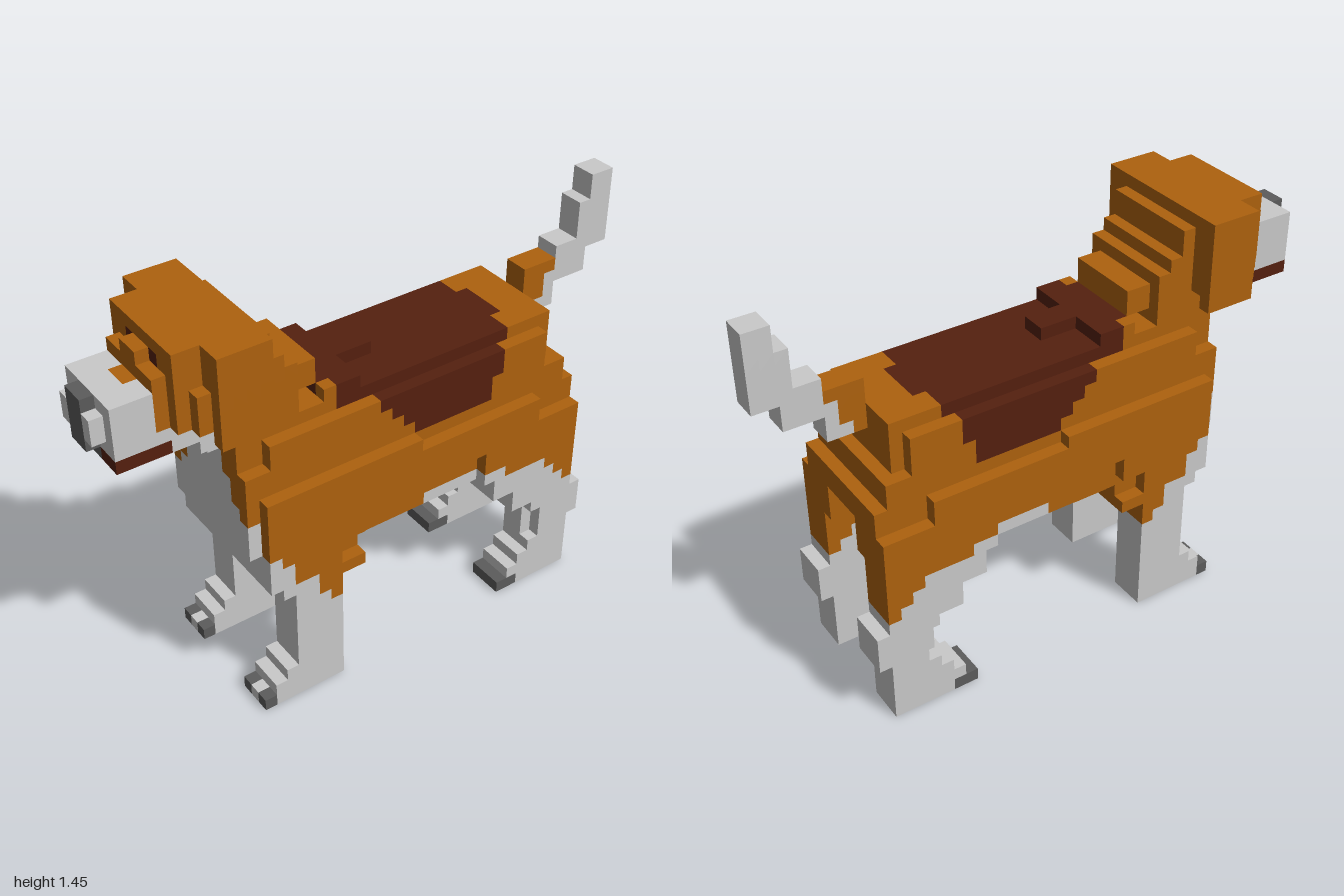
import * as THREE from 'three';

// All sizes are in blocks: 44 blocks make the 2 unit length.
const U = 1 / 22;

const tan = new THREE.MeshStandardMaterial({ color: 0xae620e });
const white = new THREE.MeshStandardMaterial({ color: 0xcacaca });
const brown = new THREE.MeshStandardMaterial({ color: 0x55200f });
const grey = new THREE.MeshStandardMaterial({ color: 0x5c5c5c });
Object.entries({ tan, white, brown, grey }).forEach(([n, m]) => { m.name = n; });

// True when block v lies from a up to, but not including, b.
const within = (v, a, b) => v >= a && v < b;

// Each part is a rule for which blocks it fills and a rule for their colour;
// x is the distance from the middle plane, so both sides mirror.
const nose = {
  fills: (x, y, z) => x < 1 && ((within(y, 25, 29) && z === 21) || (y === 24 && z === 20)),
  paint: () => grey,
};

const mouth = {
  fills: (x, y, z) => x < 3 && y === 24 && within(z, 17, 21),
  paint: () => brown,
};

const muzzle = {
  fills: (x, y, z) => (x < 3 && within(y, 25, 29) && within(z, 18, 21))
    || (x === 1 && within(y, 26, 28) && z === 21),
  paint: (x, y, z) => (x < 1 && y === 28 && z === 18 ? tan : white),
};

// Head with a stepped face, a brow ridge and recessed eyes
const head = {
  fills(x, y, z) {
    if (y < 26) return false;
    if (z === 17) return x < (y < 30 ? 3 : y < 31 ? 1 : 0);
    return x < 4 && within(z, y < 31 ? 10 : 11, 17);
  },
  paint: (x, y, z) => (x === 1 && y === 30 && z === 16 ? brown : tan),
};

const ears = {
  fills: (x, y, z) => x >= 4 && y >= (x < 5 ? 26 : 25) && within(z, 11, x < 5 && y < 29 ? 16 : 15),
  paint: () => tan,
};

// Throat slopes forward from the chest to the jaw
const throat = {
  fills: (x, y, z) => within(y, 22, 26) && x < (y < 23 ? 2 : 3)
    && within(z, 13, y < 24 ? y - 8 : y - 7),
  paint: () => white,
};

// Coat: saddle, bib, socks and groin
const bibWidth = y => (y >= 20 ? 2 : y >= 18 ? 3 : y >= 17 ? 4 : y >= 14 ? 5 : 6);
const foreSock = z => (z > 11 ? 17 : z > 9 ? z + 3 : z > 7 ? 11 : z + 2);
const hindSock = z => (z >= -9 ? 13 : z >= -13 ? 12 : z + 25);
function coat(x, y, z) {
  const saddleTop = within(y, 23, 25) && x < 4
    && (within(z, -10, 5) || (x < 2 && z === -11) || (x < 3 && z === 5));
  const saddleSide = within(y, 19, 23) && x >= 4
    && within(z, y > 20 ? -9 : -8, y - 20);
  if (saddleTop || saddleSide) return brown;
  if (z >= 11 && y < 24 && x < bibWidth(y)) return white;
  if (z >= 6 && y < foreSock(z)) return white;
  return z <= -3 && y < hindSock(z) ? white : tan;
}

// Neck steps down to the withers at the back
const neck = {
  fills(x, y, z) {
    if (!within(y, 22, 31)) return false;
    if (y >= 27) return x < 4 && within(z, y > 28 ? 10 : y - 19, 11);
    return (x < 4 && within(z, 8, 13)) || (x < 3 && y > 24 && within(z, 6, 8));
  },
  paint: coat,
};

// Trunk: core, side layer, outer flanks, rump, chest floor and belly
const inCore = (x, y, z) => x < 4 && within(y, 13, 24) && within(z, -14, 12);
const inBreast = (x, y, z) => z === 12
  && ((x < 4 && within(y, 14, 23)) || (x < 5 && within(y, 14, 21)));
const inSides = (x, y, z) => x === 4 && within(z, -13, 12) && within(y, 12, z < 11 ? 23 : 21);
const inWithers = (x, y, z) => y === 24 && within(z, 0, 6) && x < (z < 3 ? 1 : 4);
const inFlanks = (x, y, z) => x === 5 && within(z, -16, 12)
  && within(y, within(z, -7, 4) ? 15 : 13, z < -12 ? 16 : z < -1 ? 18 : 19);
const inRump = (x, y, z) => x < 5 && within(z, -16, -13)
  && within(y, x >= 2 && z < -14 ? 13 : 16, z < -15 ? 18 : 20);
const inChest = (x, y, z) => (within(y, 11, 14) && within(z, 6, 12))
  || (y === 10 && within(z, 4, 11)) || (x < 5 && within(y, 11, 13) && within(z, 4, 6));
const inBelly = (x, y, z) => (x < 4 && y === 12 && within(z, -8, 6))
  || (y === 11 && within(z, -1, 6) && x < (within(z, 1, 4) ? 4 : 2));
const trunk = [inCore, inBreast, inSides, inWithers, inFlanks, inRump, inChest, inBelly];
const body = {
  fills: (x, y, z) => trunk.some(test => test(x, y, z)),
  paint: coat,
};

// Legs: the paws step forward by one block per level
const frontLegs = {
  fills: (x, y, z) => x >= 3 && y < 13 && within(z, 6, y < 3 ? 13 - y : y < 10 ? 10 : 11),
  paint: (x, y, z) => (z === 12 && y === 0 ? (x === 4 ? white : grey) : coat(x, y, z)),
};

function hindLegFront(x, y) {
  if (y < 4) return -9 - y;
  if (y < 7) return x < 5 ? -12 : -13;
  if (y < 8) return -12;
  return y < 10 ? -10 : y < 12 ? -8 : -7;
}
const hindLegs = {
  fills: (x, y, z) => x >= 3 && y < 13
    && within(z, within(y, 5, 8) ? -17 : -16, hindLegFront(x, y)),
  paint: (x, y, z) => (z >= -11 && y === 0 ? grey : coat(x, y, z)),
};

// Tail climbs in steps to a white tip
const tail = {
  fills(x, y, z) {
    if (x > 0 || z >= -14) return false;
    if (z >= -17) return within(y, 22, 26) && !(z === -17 && y < 22);
    if (z >= -19) return within(y, 24, 27);
    return z === -20 ? within(y, 24, 30) : y >= 26;
  },
  paint: (x, y, z) => (z < -17 || (z === -17 && y < 25) || (z === -16 && y < 23) ? white : tan),
};

// Where parts overlap, a block belongs to the first part listed.
const PARTS = { nose, mouth, muzzle, head, ears, throat, neck, body, frontLegs, hindLegs, tail };

// Join the open faces of a part's blocks of one colour.
function skin(cells, solid) {
  const pos = [], nor = [];
  for (const p of cells) {
    for (let axis = 0; axis < 3; axis++) {
      for (const side of [1, -1]) {
        const next = [...p];
        next[axis] += side;
        if (solid.has(next.join())) continue;
        // u x v points out of the block
        const u = (axis + (side > 0 ? 1 : 2)) % 3, v = (axis + (side > 0 ? 2 : 1)) % 3;
        for (const [a, b] of [[0, 0], [1, 0], [1, 1], [0, 0], [1, 1], [0, 1]]) {
          const corner = [...p], normal = [0, 0, 0];
          corner[axis] += side > 0 ? 1 : 0;
          corner[u] += a;
          corner[v] += b;
          normal[axis] = side;
          pos.push(...corner.map(k => k * U));
          nor.push(...normal);
        }
      }
    }
  }
  const geo = new THREE.BufferGeometry();
  geo.setAttribute('position', new THREE.Float32BufferAttribute(pos, 3));
  geo.setAttribute('normal', new THREE.Float32BufferAttribute(nor, 3));
  return geo;
}

export function createModel() {
  const dog = new THREE.Group();
  dog.name = 'dog';
  const solid = new Set();
  const filled = Object.entries(PARTS).map(([name]) => ({ name, colours: new Map() }));

  // Sort every block into its part and colour.
  for (let x = -6; x < 6; x++)
    for (let y = 0; y < 32; y++)
      for (let z = -22; z < 22; z++) {
        const ax = x < 0 ? -x - 1 : x;
        const owner = filled.find(({ name }) => PARTS[name].fills(ax, y, z));
        if (!owner) continue;
        solid.add([x, y, z].join());
        const colour = PARTS[owner.name].paint(ax, y, z);
        if (!owner.colours.has(colour)) owner.colours.set(colour, []);
        owner.colours.get(colour).push([x, y, z]);
      }

  for (const { name, colours } of filled) {
    const part = new THREE.Group();
    part.name = name;
    for (const [colour, cells] of colours) {
      const mesh = new THREE.Mesh(skin(cells, solid), colour);
      mesh.name = `${name} ${colour.name}`;
      part.add(mesh);
    }
    dog.add(part);
  }
  return dog;
}
